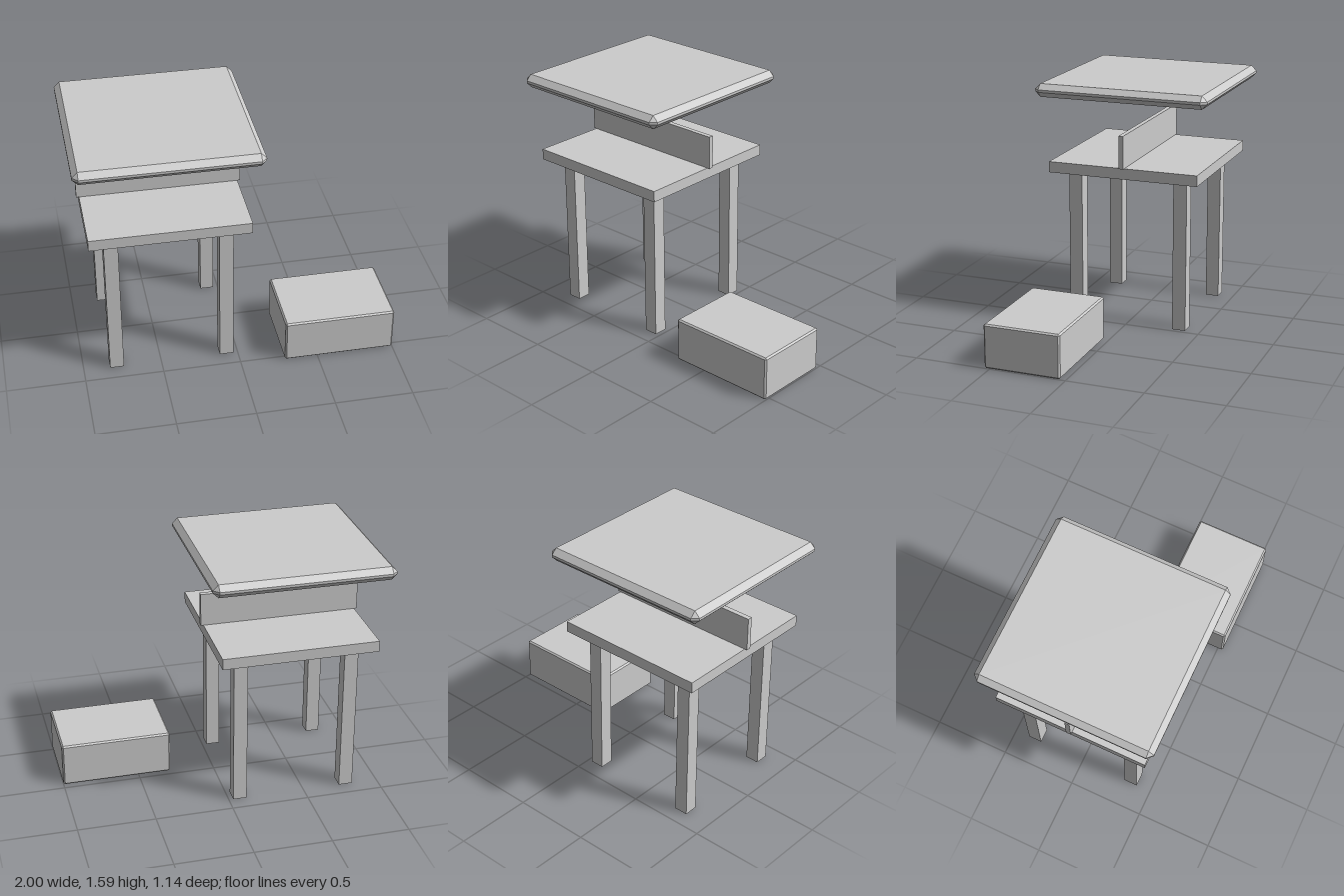
import * as THREE from 'three';
import { ConvexGeometry } from 'three/addons/geometries/ConvexGeometry.js';

// Box with flat chamfers on every edge
function chamferedBox(w, h, d, b) {
  const points = [];
  for (const sx of [-1, 1]) for (const sy of [-1, 1]) for (const sz of [-1, 1]) {
    const x = w / 2, y = h / 2, z = d / 2;
    points.push(
      new THREE.Vector3(sx * x, sy * (y - b), sz * (z - b)),
      new THREE.Vector3(sx * (x - b), sy * y, sz * (z - b)),
      new THREE.Vector3(sx * (x - b), sy * (y - b), sz * z)
    );
  }
  return new ConvexGeometry(points);
}

export function createModel() {
  const model = new THREE.Group();
  model.name = 'marketStall';
  const grey = new THREE.MeshStandardMaterial({ color: 0xcccccc });
  grey.name = 'plainGrey';

  const add = (parent, name, geometry, x, y, z) => {
    const mesh = new THREE.Mesh(geometry, grey);
    mesh.name = name;
    mesh.position.set(x, y, z);
    parent.add(mesh);
  };

  // Table, upright board and floating canopy share one centre line
  const stall = new THREE.Group();
  stall.name = 'stall';
  stall.position.x = -0.43;
  model.add(stall);

  add(stall, 'tableTop', new THREE.BoxGeometry(1, 0.071, 1), 0, 1.039, 0);
  add(stall, 'signBoard', new THREE.BoxGeometry(1.034, 0.214, 0.031), 0, 1.181, 0);
  add(stall, 'canopy', chamferedBox(1.143, 0.086, 1.143, 0.035), 0, 1.546, 0);

  // Four square legs
  const legGeometry = new THREE.BoxGeometry(0.089, 1.004, 0.089);
  for (const sx of [-1, 1]) for (const sz of [-1, 1]) {
    const name = (sz > 0 ? 'front' : 'back') + (sx > 0 ? 'Left' : 'Right') + 'Leg';
    add(stall, name, legGeometry, sx * 0.357, 0.502, sz * 0.357);
  }

  // Crate standing beside the table
  add(model, 'crate', chamferedBox(0.714, 0.286, 0.5, 0.01), 0.643, 0.143, 0.286);

  return model;
}
